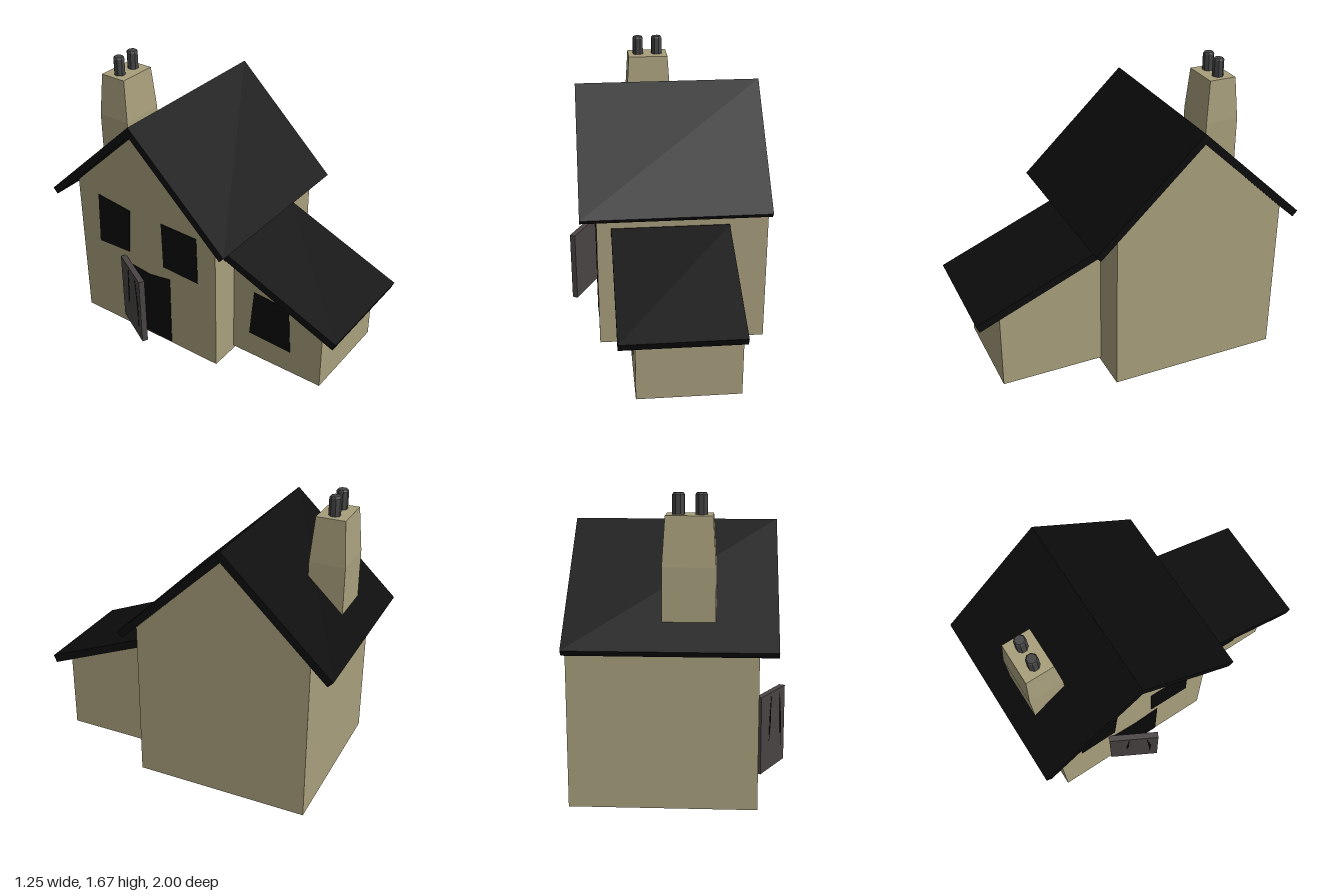
import * as THREE from 'three';

const wallMat = new THREE.MeshStandardMaterial({ color: 0xa89f7c, flatShading: true });
const roofMat = new THREE.MeshStandardMaterial({ color: 0x0c0c0c, flatShading: true });
const darkMat = new THREE.MeshStandardMaterial({ color: 0x080808, flatShading: true });
const doorMat = new THREE.MeshStandardMaterial({ color: 0x4a4444, flatShading: true });
const potMat = new THREE.MeshStandardMaterial({ color: 0x444444, flatShading: true });

function add(parent, name, geometry, material, x = 0, y = 0, z = 0) {
  const mesh = new THREE.Mesh(geometry, material);
  mesh.name = name;
  mesh.position.set(x, y, z);
  parent.add(mesh);
  return mesh;
}

// Solid with a [z, y] outline, running from x0 to x1
function prism(points, x0, x1) {
  const shape = new THREE.Shape(points.map(([z, y]) => new THREE.Vector2(z, y)));
  const g = new THREE.ExtrudeGeometry(shape, { depth: x1 - x0, bevelEnabled: false });
  return g.rotateY(-Math.PI / 2).translate(x1, 0, 0);
}

export function createModel() {
  const model = new THREE.Group();
  model.name = 'cottage';
  const house = new THREE.Group();
  house.name = 'house';
  house.position.set(-0.005, 0, -0.3);
  house.rotation.y = 0.118;
  model.add(house);

  // Main block: gabled walls and a roof that overhangs one gable only
  const wallX = -0.458;
  add(house, 'mainWalls', prism(
    [[-0.513, 0], [0.513, 0], [0.513, 0.95], [0, 1.437], [-0.513, 0.95]], wallX, 0.553), wallMat);
  add(house, 'mainRoof', prism(
    [[0, 1.497], [-0.64, 0.892], [-0.61, 0.86], [0, 1.436], [0.61, 0.86], [0.64, 0.892]], -0.554, 0.555), roofMat);

  // Front annex with a lean-to roof
  const annexX = -0.275;
  add(house, 'annexWalls', prism(
    [[0.5, 0.02], [1.128, 0.02], [1.128, 0.478], [0.5, 0.735]], annexX, 0.322), wallMat);
  add(house, 'annexRoof', prism(
    [[0.5, 0.776], [0.524, 0.776], [1.265, 0.47], [1.247, 0.425], [0.524, 0.724], [0.5, 0.724]], -0.373, 0.323), roofMat);

  // Crooked dark openings
  const opening = (name, points, x) => add(house, name, prism(points, x - 0.004, x + 0.01), darkMat);
  opening('rearWindow', [[-0.37, 0.56], [-0.135, 0.57], [-0.11, 0.87], [-0.355, 0.9]], wallX);
  opening('frontWindow', [[0.13, 0.565], [0.385, 0.555], [0.38, 0.865], [0.125, 0.87]], wallX);
  opening('doorway', [[-0.16, 0.01], [0.17, 0.01], [0.175, 0.49], [0.02, 0.465], [-0.15, 0.485]], wallX);
  opening('annexWindow', [[0.63, 0.185], [0.92, 0.173], [0.9, 0.48], [0.66, 0.5]], annexX);

  // Door leaf standing ajar, with cracks between its planks
  const door = new THREE.Group();
  door.name = 'door';
  door.position.set(-0.467, 0.075, -0.181);
  door.rotation.y = -0.492;
  house.add(door);
  add(door, 'doorLeaf', new THREE.BoxGeometry(0.035, 0.45, 0.3), doorMat, 0, 0.225, 0.15);
  const crack = (points) => add(door, 'doorCrack', prism(points, -0.0195, -0.016), darkMat);
  crack([[0.1, 0.17], [0.118, 0.27], [0.122, 0.43], [0.105, 0.3]]);
  crack([[0.252, 0.08], [0.258, 0.25], [0.228, 0.43], [0.242, 0.24]]);

  // Chimney: straight stack, tapered upper part, two pots
  const chimney = new THREE.Group();
  chimney.name = 'chimney';
  chimney.position.set(-0.092, 0, -0.402);
  house.add(chimney);
  add(chimney, 'chimneyStack', new THREE.BoxGeometry(0.278, 0.3, 0.21), wallMat, 0, 1.15, 0);
  const taper = new THREE.BoxGeometry(0.278, 0.26, 0.21);
  const p = taper.attributes.position;
  for (let i = 0; i < p.count; i++) {
    if (p.getY(i) > 0) p.setXYZ(i, p.getX(i) * 0.88, p.getY(i), p.getZ(i) * 0.8);
  }
  taper.computeVertexNormals();
  add(chimney, 'chimneyTop', taper, wallMat, 0, 1.43, 0);
  const potProfile = [[0, 0], [0.034, 0], [0.034, 0.105], [0.027, 0.115], [0, 0.115]];
  for (const x of [-0.06, 0.058]) {
    const pot = new THREE.LatheGeometry(potProfile.map(([r, y]) => new THREE.Vector2(r, y)), 8, Math.PI / 8);
    add(chimney, 'chimneyPot', pot, potMat, x, 1.556, 0);
  }
  return model;
}
